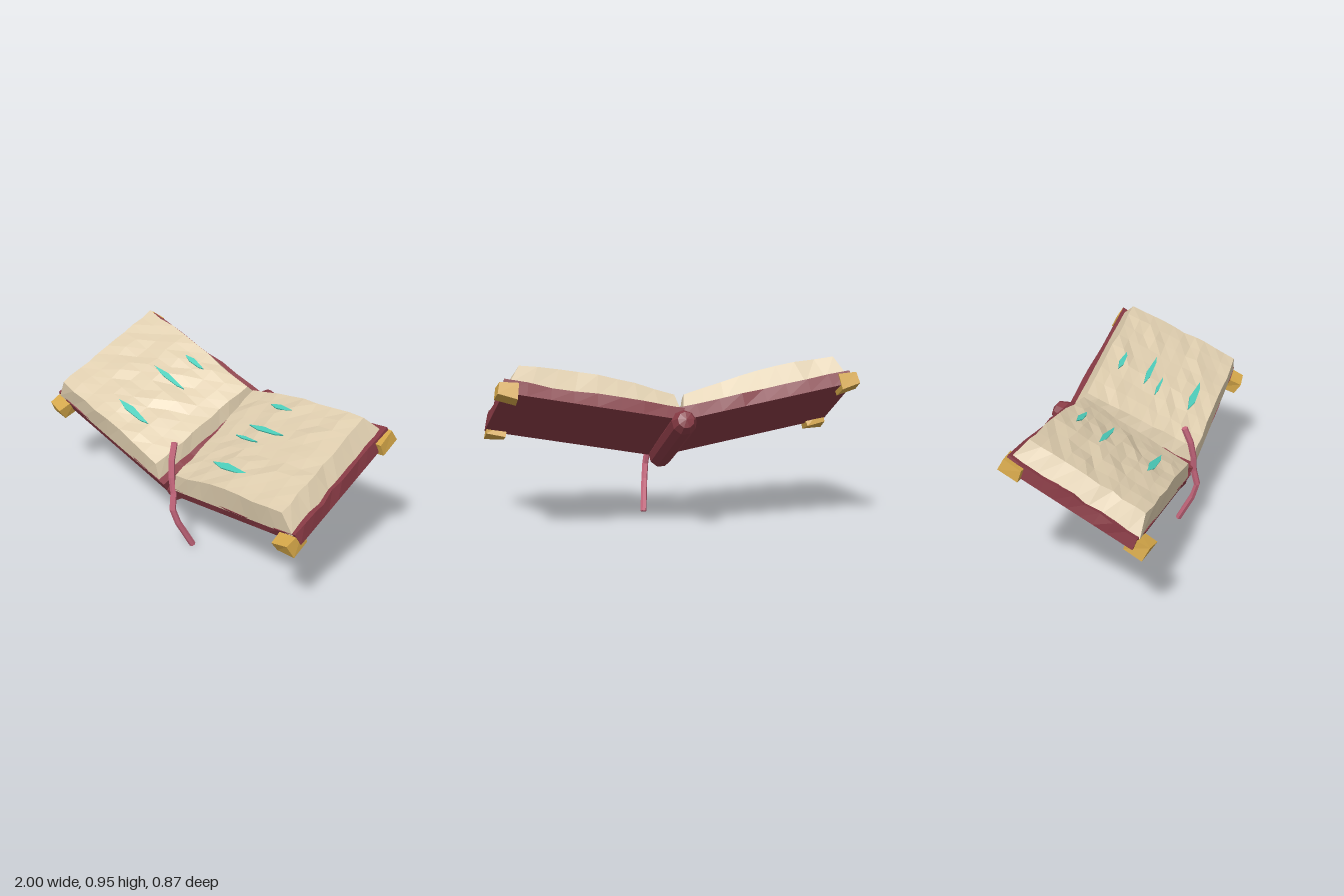
import * as THREE from 'three';

const TILT = THREE.MathUtils.degToRad(25);   // the book leans towards the front
const OPEN = THREE.MathUtils.degToRad(10.5); // each half rises outwards

const mat = (name, color) => {
  const m = new THREE.MeshStandardMaterial({ color });
  m.name = name;
  return m;
};
const lerp = THREE.MathUtils.lerp;

// Repeatable noise in -1..1, the same for equal positions
const noise = (x, y, z, k) => {
  const n = Math.sin(x * 127.1 + y * 311.7 + z * 74.7 + k * 53.3) * 43758.5453;
  return (n - Math.floor(n)) * 2 - 1;
};

// Faceted mesh
function part(name, geometry, material) {
  const g = geometry.index ? geometry.toNonIndexed() : geometry;
  g.computeVertexNormals();
  const mesh = new THREE.Mesh(g, material);
  mesh.name = name;
  return mesh;
}

// Subdivided box whose points are moved by a rule: (u, v, w in 0..1) -> [x, y, z].
// u runs from the spine outwards; side mirrors the block.
function block(side, segs, rule) {
  const g = new THREE.BoxGeometry(1, 1, 1, ...segs);
  const p = g.attributes.position;
  for (let i = 0; i < p.count; i++) {
    const [x, y, z] = rule(p.getX(i) * side + 0.5, p.getY(i) + 0.5, p.getZ(i) + 0.5);
    p.setXYZ(i, x * side, y, z);
  }
  return g;
}

// Height of the page surface along its width
const pageTop = (u) => 0.15 + 0.027 * u + 0.028 * Math.sin(Math.PI * u);

// Sliver with pointed ends for a line of writing
function sliver(length, width) {
  const s = new THREE.Shape();
  s.moveTo(-length / 2, 0);
  s.lineTo(-length * 0.2, -width / 2);
  s.lineTo(length * 0.3, -width * 0.4);
  s.lineTo(length / 2, 0);
  s.lineTo(-length * 0.1, width / 2);
  s.closePath();
  const g = new THREE.ExtrudeGeometry(s, { depth: 0.009, bevelEnabled: false });
  return g.rotateX(-Math.PI / 2);
}

export function createModel() {
  const cover = mat('dark red leather', 0x873a44);
  const paper = mat('cream paper', 0xdecdae);
  const gold = mat('gold', 0xd2a548);
  const ink = mat('turquoise ink', 0x4ccdba);
  const ribbon = mat('pink ribbon', 0xc8687e);

  const book = new THREE.Group();
  book.name = 'openBook';

  for (const side of [1, -1]) {
    const label = side > 0 ? 'left' : 'right';
    const half = new THREE.Group();
    half.name = label + 'Half';
    half.position.y = 0.48;
    half.rotation.order = 'ZYX'; // tilt first, then open
    half.rotation.set(TILT, 0, OPEN * side);

    // Cover board with a worn upper rim
    half.add(part(label + 'Cover', block(side, [8, 1, 10], (u, v, w) => {
      const j = (k) => 0.007 * v * noise(u, v, w, k + side);
      return [lerp(0, 0.985, u) + j(1), 0.07 * v + j(2), lerp(-0.38, 0.385, w) + j(3)];
    }), cover));

    // Page block, narrower at the top, with a rippled surface
    half.add(part(label + 'Pages', block(side, [8, 1, 10], (u, v, w) => {
      const rough = u > 0.01 && u < 0.99 && w > 0.01 && w < 0.99 ? 0.009 : 0.004;
      const j = (k) => v * noise(u, v, w, k + side);
      return [
        lerp(lerp(0.045, 0.96, u), lerp(0.08, 0.922, u), v) + 0.006 * j(4),
        lerp(0.06, pageTop(u), v) + rough * j(5),
        lerp(lerp(-0.36, 0.388, w), lerp(-0.325, 0.352, w), v) + 0.006 * j(6),
      ];
    }), paper));

    // Lines of writing: centre x, z, length, width
    const lines = [[0.41, -0.234, 0.16, 0.03], [0.44, -0.068, 0.26, 0.03], [0.42, 0.218, 0.26, 0.04]];
    if (side > 0) lines.push([0.36, 0.014, 0.17, 0.018]);
    lines.forEach(([x, z, length, width]) => {
      const line = part('writingLine', sliver(length, width), ink);
      line.position.set(x * side, pageTop((x - 0.08) / 0.84) + 0.002, z);
      half.add(line);
    });

    // Dented corner caps
    for (const [x, y, z] of [[0.922, 0.016, 0.4], [0.962, 0.02, -0.324]]) {
      const cap = part(label + 'CornerCap', block(side, [1, 1, 1], (u, v, w) => {
        const j = (k) => 0.009 * noise(u, v, w, k + z);
        return [(u - 0.5) * 0.112 + j(7), (v - 0.5) * 0.078 + j(8), (w - 0.5) * 0.115 + j(9)];
      }), gold);
      cap.position.set(x * side, y, z);
      half.add(cap);
    }
    book.add(half);
  }

  // Rounded spine with tapered ends
  const profile = [[0, -0.385], [0.04, -0.375], [0.066, -0.325], [0.069, 0], [0.068, 0.4], [0.045, 0.45], [0, 0.462]]
    .map(([r, y]) => new THREE.Vector2(r, y));
  const spine = part('spine', new THREE.LatheGeometry(profile, 9), cover);
  spine.position.y = 0.464;
  spine.rotation.x = TILT - Math.PI / 2;
  book.add(spine);

  // Bookmark ribbon hanging over the front edge
  const path = new THREE.CatmullRomCurve3([
    [0.015, 0.64, 0.33], [0.035, 0.5, 0.375], [0.055, 0.38, 0.375],
    [0.07, 0.25, 0.395], [0.085, 0.13, 0.345], [0.1, 0.007, 0.285],
  ].map((p) => new THREE.Vector3(...p)));
  const section = new THREE.Shape();
  for (let i = 0; i < 6; i++) {
    const a = (i * Math.PI) / 3;
    section[i ? 'lineTo' : 'moveTo'](0.018 * Math.cos(a), 0.018 * Math.sin(a));
  }
  book.add(part('bookmarkRibbon',
    new THREE.ExtrudeGeometry(section, { steps: 7, extrudePath: path, bevelEnabled: false }), ribbon));

  return book;
}
